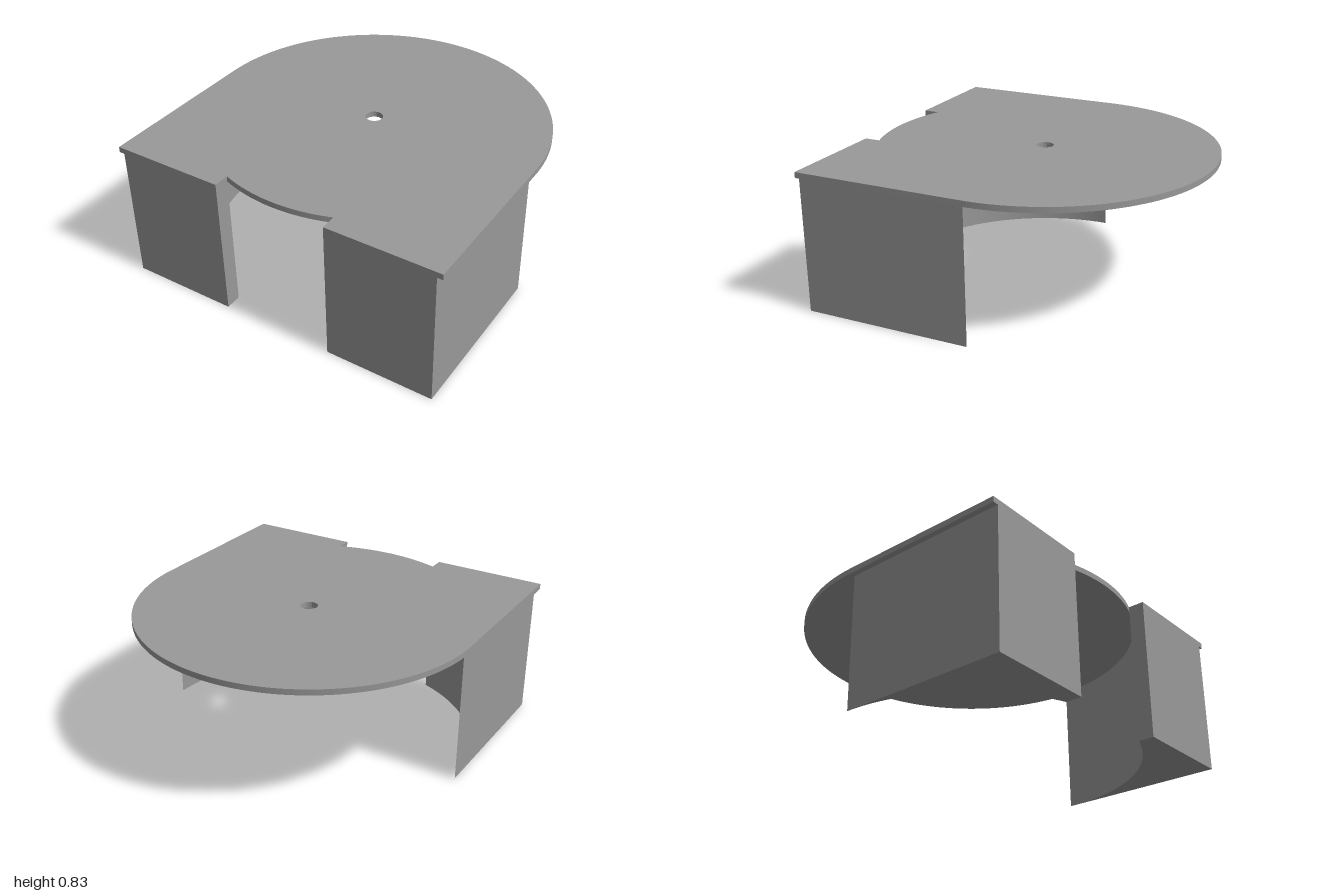
import * as THREE from 'three';
import { toCreasedNormals } from 'three/addons/utils/BufferGeometryUtils.js';

const R = 0.967;        // radius of the inner cylindrical cut
const GAP = 0.333;      // half width of the front opening
const LEG_H = 0.8, PLATE_T = 0.033;
const cut = Math.acos(GAP / R); // angle where the opening meets the cut

// Extrude a plan (x, z) downwards from the given top height
function slab(shape, top, depth) {
  const g = new THREE.ExtrudeGeometry(shape, { depth, bevelEnabled: false, curveSegments: 64 });
  g.rotateX(Math.PI / 2).translate(0, top, 0);
  return toCreasedNormals(g, 0.5);
}

export function createModel() {
  const model = new THREE.Group();
  const grey = new THREE.MeshStandardMaterial({ color: 0x999999 });
  grey.name = 'grey';
  const add = (name, geometry) => {
    const mesh = new THREE.Mesh(geometry, grey);
    mesh.name = name;
    model.add(mesh);
  };

  // Top plate: round back, square front with a curved notch, centre hole
  const plate = new THREE.Shape();
  plate.moveTo(-1, 0);
  plate.absarc(0, 0, 1, Math.PI, Math.PI * 2, false);
  plate.lineTo(1, 1);
  plate.lineTo(GAP, 1);
  plate.absarc(0, 0, R, cut, Math.PI - cut, false);
  plate.lineTo(-GAP, 1);
  plate.lineTo(-1, 1);
  plate.closePath();
  const hole = new THREE.Path();
  hole.absarc(0, 0, 0.05, 0, Math.PI * 2, true);
  plate.holes.push(hole);
  add('topPlate', slab(plate, LEG_H + PLATE_T, PLATE_T));

  // Corner legs, hollowed by the cylindrical cut
  for (const [name, s] of [['leftLeg', 1], ['rightLeg', -1]]) {
    const leg = new THREE.Shape();
    leg.moveTo(s * R, 0);
    leg.lineTo(s * R, 1);
    leg.lineTo(s * GAP, 1);
    if (s > 0) leg.absarc(0, 0, R, cut, 0, true);
    else leg.absarc(0, 0, R, Math.PI - cut, Math.PI, false);
    add(name, slab(leg, LEG_H, LEG_H));
  }
  return model;
}
